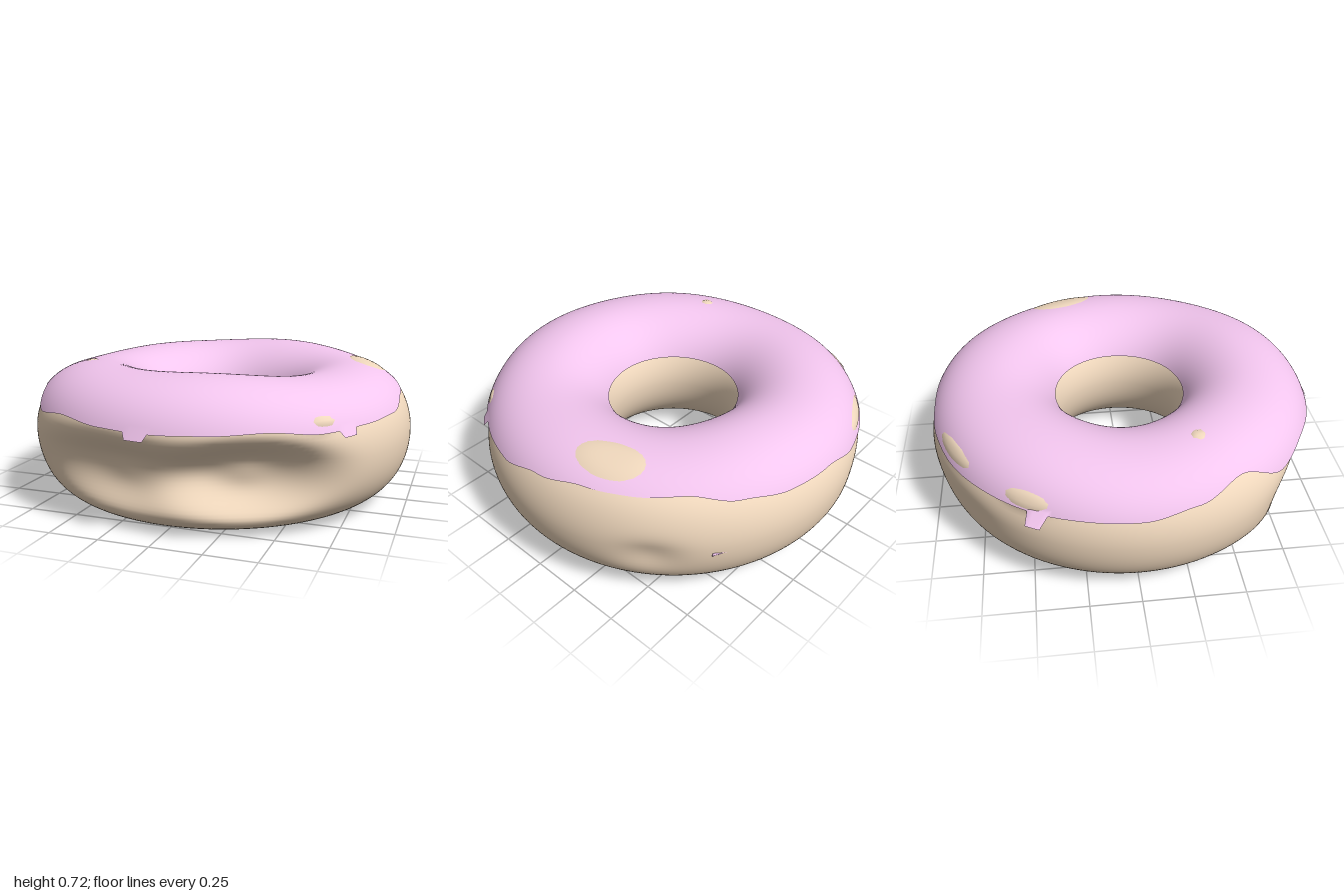
import * as THREE from 'three';

const RAD = Math.PI / 180;
// Ring radius, tube half width, height of the widest level, tube heights above and below it
const RING = 0.655, HALF_W = 0.342, MID = 0.355, UP = 0.307, DOWN = 0.355;

// Shortest signed difference between two angles in degrees
const turn = (a, b) => ((a - b + 540) % 360 + 360) % 360 - 180;

// Soft round spot on the ring: 1 in the middle, 0 outside
function spot(a, phi, s, power = 2) {
  const d = Math.hypot(turn(a, s.a) / s.wa, turn(phi, s.phi) / s.wp);
  return Math.exp(-Math.pow(d, power));
}

// a runs round the ring (0 = +x, 90 = front), phi round the tube (0 = outside, 90 = top)
function ringPoint(a, phi, grow, push = 0) {
  const c = Math.cos(phi * RAD), s = Math.sin(phi * RAD);
  const full = c > 0 ? 1 + 0.1 * s * s : 1; // the outer shoulders are a little fuller
  const r = RING + (HALF_W + grow) * c * full - push;
  const y = MID + ((s > 0 ? UP : DOWN) + grow) * s;
  return [r * Math.cos(a * RAD), Math.max(y, 0.004), r * Math.sin(a * RAD)];
}

// Smooth surface that closes round the ring, and round the tube too if asked
function ringSurface(na, np, closedTube, point) {
  const rows = closedTube ? np : np + 1;
  const pos = [], index = [];
  for (let i = 0; i < na; i++)
    for (let j = 0; j < rows; j++) pos.push(...point(i / na * 360, j / np));
  for (let i = 0; i < na; i++)
    for (let j = 0; j < np; j++) {
      const i2 = (i + 1) % na, j2 = (j + 1) % rows;
      const p = i * rows + j, q = i * rows + j2, s = i2 * rows + j, t = i2 * rows + j2;
      index.push(p, q, s, q, t, s);
    }
  const geo = new THREE.BufferGeometry();
  geo.setAttribute('position', new THREE.Float32BufferAttribute(pos, 3));
  geo.setIndex(index);
  geo.computeVertexNormals();
  return geo;
}

// Hollows pressed into the side of the dough
const DENTS = [
  { a: 64, phi: -11, wa: 21, wp: 28, depth: 0.2, power: 3 },
  { a: 103, phi: -12, wa: 26, wp: 28, depth: 0.155, power: 2.6 },
  { a: 325, phi: -8, wa: 8, wp: 15, depth: 0.03, power: 2 },
  { a: 235, phi: -8, wa: 18, wp: 18, depth: 0.02, power: 2 },
];

// Places where the dough swells up through the icing
const BARE = [
  { a: 340, phi: 73, wa: 18, wp: 19 },
  { a: 155, phi: 84, wa: 4.5, wp: 8 },
  { a: 242, phi: 37, wa: 13, wp: 10 },
  { a: 212, phi: 35, wa: 9, wp: 10 },
  { a: 44, phi: 36, wa: 5, wp: 7 },
];
// Broad swelling of the dough at the back right
const SWELL = { a: 327, phi: 52, wa: 34, wp: 24 };

// Outer rim of the icing, as a tube angle every 15 degrees round the ring
const RIM = [40, 30, 28, 26, 30, 28, 27, 28, 31, 26, 44, 33,
  27, 27, 26, 26, 25, 27, 36, 37, 42, 50, 48, 47];
// Square drips hanging from the rim
const DRIPS = [
  { a: 93.5, w: 3.2, drop: 6, flare: 0.004 },
  { a: 37, w: 2.6, drop: 6, flare: 0.008 },
  { a: 208, w: 2.8, drop: 9, flare: 0.04 },
];

function rimAngle(a) {
  const k = Math.floor(a / 15) % 24, f = a / 15 - Math.floor(a / 15);
  return THREE.MathUtils.lerp(RIM[k], RIM[(k + 1) % 24], f * f * (3 - 2 * f));
}

// Icing is thickest on top and thins towards both rims
function icingThickness(a, phi) {
  const top = Math.pow(Math.max(0, Math.sin(phi * RAD)), 2);
  const wave = 0.017 * Math.cos(2 * turn(a, 97) * RAD) + 0.005 * Math.cos(5 * a * RAD);
  const front = phi < 90 ? 0.01 * Math.max(0, Math.sin(a * RAD)) * (1 - top) : 0;
  return 0.009 + (0.031 + wave) * top + front;
}

export function createModel() {
  const model = new THREE.Group();
  model.name = 'donut';

  // Dough ring
  const dough = new THREE.Mesh(
    ringSurface(240, 100, true, (a, v) => {
      const phi = v * 360;
      let push = 0;
      for (const d of DENTS) push += d.depth * spot(a, phi, d, d.power);
      let grow = 0.018 * spot(a, phi, SWELL);
      const flush = icingThickness(a, phi) + 0.006;
      for (const b of BARE) grow = THREE.MathUtils.lerp(grow, flush, spot(a, phi, b, 4));
      return ringPoint(a, phi, grow, push);
    }),
    new THREE.MeshStandardMaterial({ color: 0xf0d8bd }));
  dough.name = 'dough';

  // Icing sheet over the top, from the outer rim into the hole
  const icing = new THREE.Mesh(
    ringSurface(360, 44, false, (a, v) => {
      let phi = THREE.MathUtils.lerp(rimAngle(a), 150, v);
      let grow = icingThickness(a, phi);
      if (v === 0)
        for (const d of DRIPS)
          if (Math.abs(turn(a, d.a)) < d.w) {
            phi -= d.drop;
            grow += d.flare;
          }
      return ringPoint(a, phi, grow);
    }),
    new THREE.MeshStandardMaterial({ color: 0xf3c6ef, side: THREE.DoubleSide }));
  icing.name = 'icing';

  // Small fleck of icing on the side at the back
  const fleck = new THREE.Mesh(new THREE.ConeGeometry(0.024, 0.12, 3), icing.material);
  fleck.name = 'icingFleck';
  fleck.position.set(0.566, 0.325, -0.808);
  fleck.quaternion.setFromUnitVectors(
    new THREE.Vector3(0, 1, 0), new THREE.Vector3(-0.82, 0, -0.57).normalize());

  model.add(dough, icing, fleck);
  return model;
}
